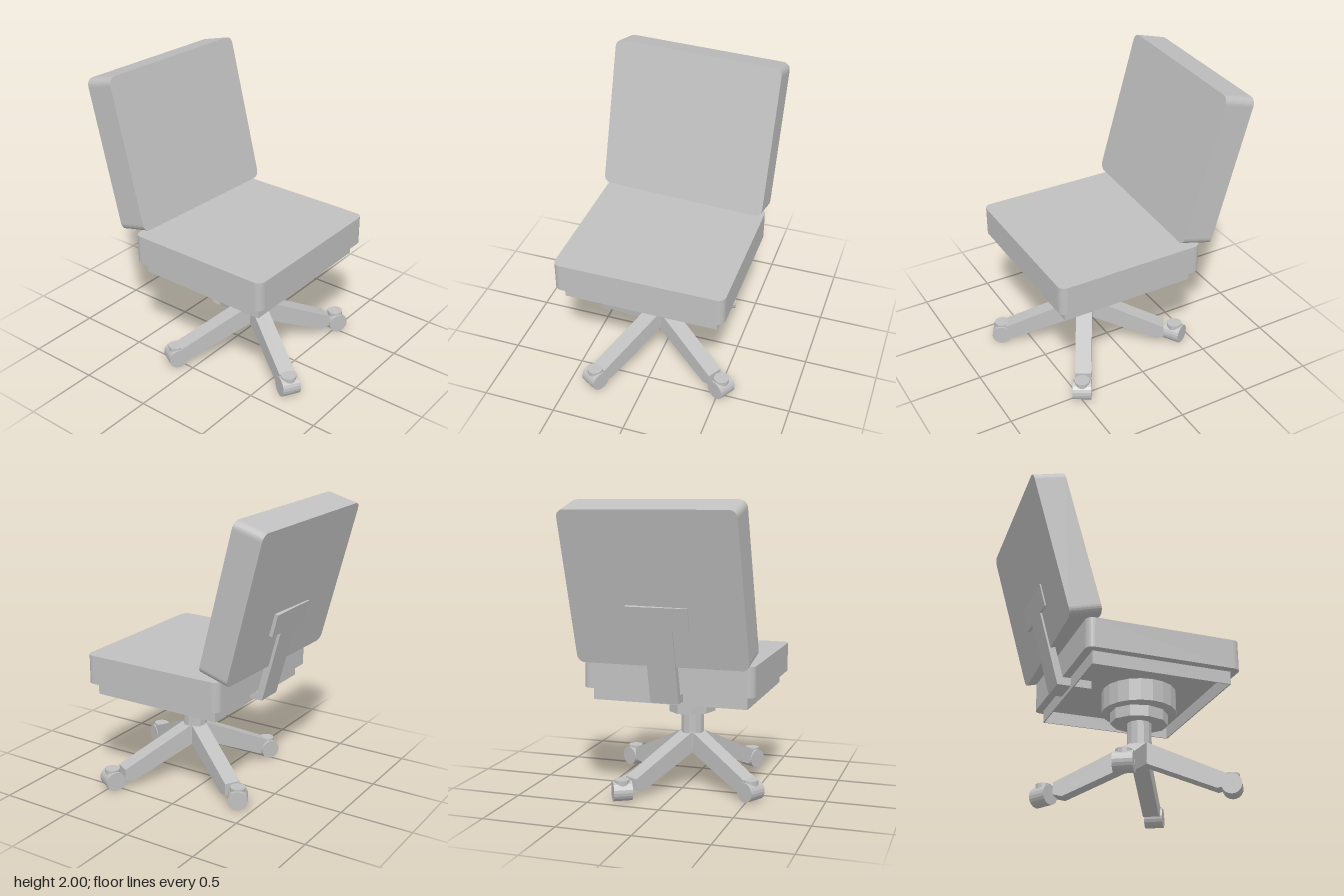
import * as THREE from 'three';

const grey = new THREE.MeshStandardMaterial({ color: 0xc0c0c0, flatShading: true });
grey.name = 'plain grey';

function part(name, geometry, x = 0, y = 0, z = 0) {
  const mesh = new THREE.Mesh(geometry, grey);
  mesh.name = name;
  mesh.position.set(x, y, z);
  return mesh;
}

// Extrusion centred on its own depth
function slab(shape, depth) {
  const g = new THREE.ExtrudeGeometry(shape, { depth, bevelEnabled: false, curveSegments: 3 });
  return g.translate(0, 0, -depth / 2);
}

const polygon = (pts) => new THREE.Shape(pts.map(([x, y]) => new THREE.Vector2(x, y)));

const rectangle = (w, h) => polygon([[-w / 2, -h / 2], [w / 2, -h / 2], [w / 2, h / 2], [-w / 2, h / 2]]);

function roundedRectangle(w, h, r) {
  const s = new THREE.Shape();
  const a = w / 2 - r, b = h / 2 - r;
  s.absarc(a, b, r, 0, Math.PI / 2);
  s.absarc(-a, b, r, Math.PI / 2, Math.PI);
  s.absarc(-a, -b, r, Math.PI, Math.PI * 1.5);
  s.absarc(a, -b, r, Math.PI * 1.5, Math.PI * 2);
  s.closePath();
  return s;
}

// Profile given as [z, y], extruded along x
const sideProfile = (pts, width) =>
  slab(polygon(pts.map(([z, y]) => [-z, y])), width).rotateY(Math.PI / 2);

export function createModel() {
  const chair = new THREE.Group();
  chair.name = 'officeChair';
  const cx = -0.024, cz = 0.166;

  // Seat cushion and the open pan under it
  chair.add(part('seatCushion', slab(roundedRectangle(1.16, 1.035, 0.05), 0.2).rotateX(Math.PI / 2), -0.02, 0.852, 0.125));
  const rim = rectangle(1.05, 0.93);
  rim.holes.push(rectangle(1.034, 0.914));
  chair.add(part('seatPan', slab(rim, 0.09).rotateX(Math.PI / 2), -0.02, 0.71, 0.125));

  // Leaning, slightly twisted backrest
  const back = part('backrest', slab(roundedRectangle(1.165, 1.03, 0.05), 0.215), -0.01, 1.465, -0.508);
  back.rotation.set(-0.262, -0.037, -0.01, 'YXZ');
  chair.add(back);

  // Bent support arm with a cross plate at its top
  chair.add(part('backSupportArm', sideProfile([
    [-0.2, 0.745], [-0.2, 0.69], [-0.43, 0.69], [-0.601, 1.33], [-0.556, 1.342], [-0.395, 0.745],
  ], 0.19), -0.02));
  chair.add(part('backSupportPlate', sideProfile([
    [-0.561, 1.18], [-0.601, 1.33], [-0.556, 1.342], [-0.516, 1.192],
  ], 0.41), -0.02));

  // Stepped hub and column
  chair.add(part('upperHub', new THREE.CylinderGeometry(0.248, 0.248, 0.15, 20), cx, 0.675, cz));
  chair.add(part('lowerHub', new THREE.CylinderGeometry(0.165, 0.165, 0.085, 10).rotateY(Math.PI / 2).scale(1, 1, 1.18), cx, 0.567, cz));
  chair.add(part('column', new THREE.CylinderGeometry(0.082, 0.082, 0.27, 12), cx, 0.395, cz));

  // Four sloping legs
  const legShape = polygon([[0, 0.255], [0.5, 0.045], [0.56, 0.06], [0.56, 0.14], [0.04, 0.385], [0, 0.385]]);
  for (let i = 0; i < 4; i++) {
    const leg = part('leg', slab(legShape, 0.11), cx, 0, cz);
    leg.rotation.y = -(Math.PI / 6 + i * Math.PI / 2);
    chair.add(leg);
  }

  // Casters: x, z and the heading of the axle
  const casters = [
    [0.52, 0.485, 120], [-0.323, 0.676, 30], [-0.52, -0.13, 120], [0.295, -0.385, -30],
  ];
  for (const [x, z, heading] of casters) {
    const caster = new THREE.Group();
    caster.name = 'caster';
    caster.position.set(x, 0, z);
    caster.rotation.y = -heading * Math.PI / 180;
    caster.add(part('wheel', new THREE.CylinderGeometry(0.067, 0.067, 0.126, 20).rotateZ(Math.PI / 2), 0, 0.067, 0));
    caster.add(part('swivelCap', new THREE.CylinderGeometry(0.052, 0.052, 0.045, 12), 0, 0.122, 0));
    chair.add(caster);
  }
  return chair;
}
